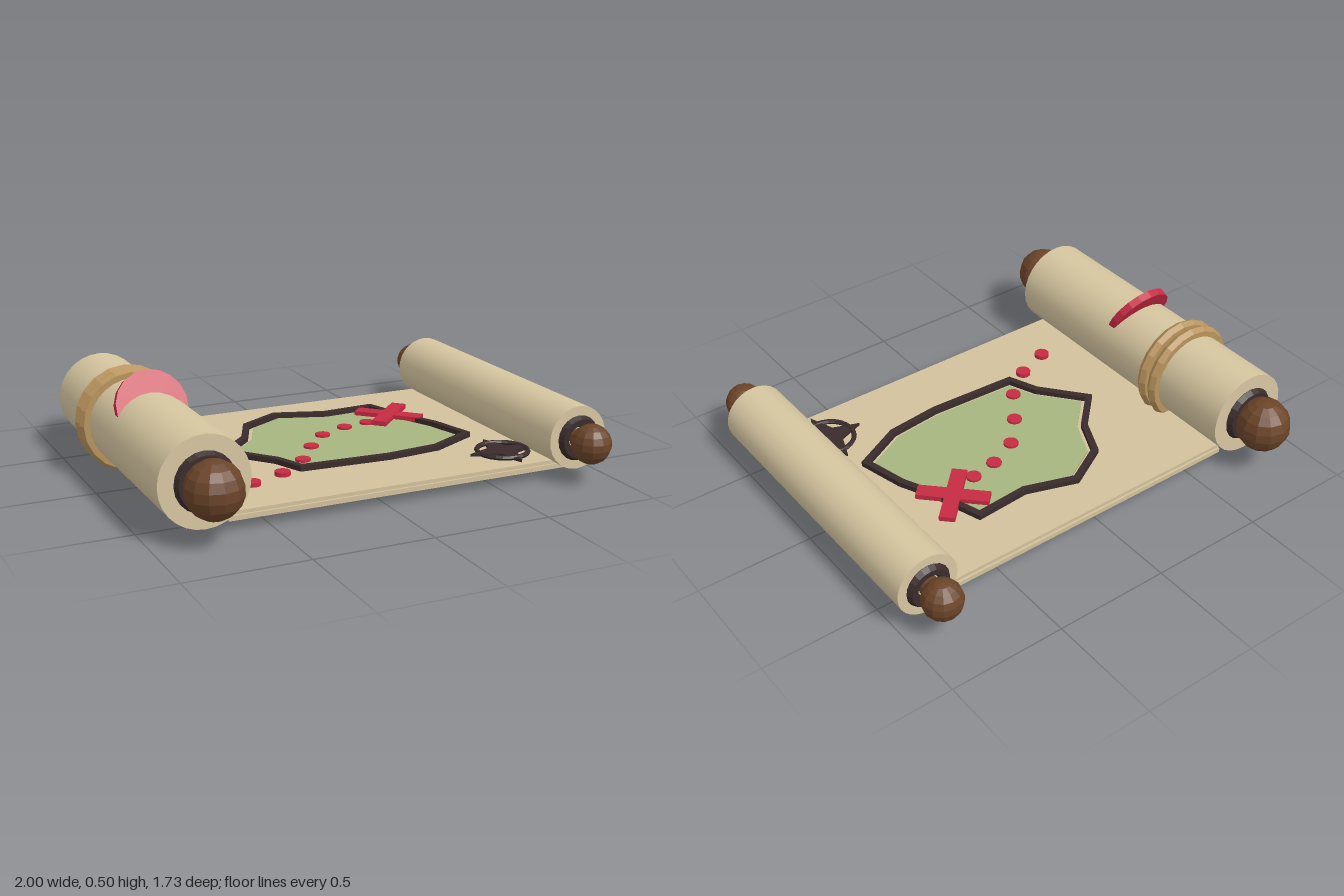
import * as THREE from 'three';

const mat = (name, color, flat = false) => {
  const m = new THREE.MeshStandardMaterial({ color, flatShading: flat });
  m.name = name;
  return m;
};

export function createModel() {
  const group = new THREE.Group();
  const parchment = mat('parchment', 0xd6c6a0);
  const sheetPaper = mat('sheet parchment', 0xd2c19b);
  const wood = mat('brown wood', 0x6b4429, true);
  const ink = mat('dark ink', 0x3a2b2c, true);
  const rope = mat('rope', 0xb8935c, true);
  const red = mat('red wax', 0xc62b42, true);
  const green = mat('land green', 0xa5b57f, true);

  const add = (name, geo, material, x = 0, y = 0, z = 0) => {
    const m = new THREE.Mesh(geo, material);
    m.name = name;
    m.position.set(x, y, z);
    group.add(m);
    return m;
  };
  // Outline drawn in x/z, laid flat with its top at local y = 0
  const flat = (shape, depth) =>
    new THREE.ExtrudeGeometry(shape, { depth, bevelEnabled: false, curveSegments: 12 }).rotateX(Math.PI / 2);

  // Rolls with collars, rods and round knobs at both ends
  const makeRoll = (side, x, y, r, ringR, knobR) => {
    add(side + 'Roll', new THREE.CylinderGeometry(r, r, 1.31, 28).rotateX(Math.PI / 2), parchment, x, y);
    add(side + 'Rod', new THREE.CylinderGeometry(knobR * 0.5, knobR * 0.5, 1.5, 12).rotateX(Math.PI / 2), wood, x, y);
    for (const s of [-1, 1]) {
      add(side + 'Collar', new THREE.TorusGeometry(ringR, 0.025, 6, 20), ink, x, y, s * 0.658);
      add(side + 'Knob', new THREE.SphereGeometry(knobR, 12, 9), wood, x, y, s * 0.75);
    }
  };
  makeRoll('right', -0.775, 0.225, 0.185, 0.098, 0.116);
  makeRoll('left', 0.865, 0.175, 0.135, 0.072, 0.084);

  // Unrolled sheet, with a slightly narrower upper layer
  add('sheet', new THREE.BoxGeometry(1.5, 0.02, 1.235), sheetPaper, 0.08, 0.05, 0);
  add('sheetTop', new THREE.BoxGeometry(1.55, 0.015, 1.215), sheetPaper, 0.075, 0.0675, 0);

  // Rope wraps
  for (const z of [-0.215, -0.278])
    add('ropeWrap', new THREE.TorusGeometry(0.197, 0.027, 6, 20), rope, -0.775, 0.225, z);

  // Wax seal, leaning and half sunk in the roll
  const seal = add('waxSeal', new THREE.CylinderGeometry(0.15, 0.15, 0.034, 18).rotateX(Math.PI / 2), red, -0.775, 0.355, 0.06);
  seal.rotation.x = -0.46;

  // Island coast and land
  const coast = [
    [-0.03, -0.45], [0.19, -0.375], [0.435, -0.39], [0.505, -0.18], [0.58, -0.02], [0.632, 0.185], [0.415, 0.295],
    [0.175, 0.32], [-0.23, 0.3], [-0.285, 0.165], [-0.445, -0.03], [-0.295, -0.18], [-0.22, -0.345],
  ].map(([x, z]) => new THREE.Vector2(x, z));
  // Move every corner inward by d along its mitre
  const inset = (d) => coast.map((p, i) => {
    const n = coast.length;
    const a = p.clone().sub(coast[(i + n - 1) % n]).normalize();
    const b = coast[(i + 1) % n].clone().sub(p).normalize();
    const na = new THREE.Vector2(-a.y, a.x), nb = new THREE.Vector2(-b.y, b.x);
    return p.clone().addScaledVector(na.clone().add(nb), d / (1 + na.dot(nb)));
  });
  const coastShape = new THREE.Shape(coast);
  coastShape.holes.push(new THREE.Path(inset(0.028)));
  add('coastLine', flat(coastShape, 0.025), ink, 0, 0.098, 0);
  add('land', flat(new THREE.Shape(inset(0.043)), 0.009), green, 0, 0.083, 0);

  // Dotted trail
  const trail = [[-0.468, 0.366], [-0.313, 0.305], [-0.172, 0.193], [-0.067, 0.045], [0.046, -0.08], [0.182, -0.142], [0.304, -0.165]];
  for (const [x, z] of trail)
    add('trailDot', new THREE.CylinderGeometry(0.033, 0.033, 0.018, 12), red, x, 0.084, z);

  // Treasure cross
  for (const s of [-1, 1]) {
    const bar = add('crossBar', new THREE.BoxGeometry(0.305, 0.022, 0.066), red, 0.442, 0.092 + s * 0.001, -0.215);
    bar.rotation.y = s * Math.PI / 4;
  }

  // Compass rose
  add('compassRing', new THREE.TorusGeometry(0.108, 0.011, 6, 24).rotateX(Math.PI / 2), ink, 0.645, 0.084, 0.428);
  const star = new THREE.Shape();
  for (let i = 0; i < 8; i++) {
    const r = i % 2 ? 0.06 : 0.155, a = (i * Math.PI) / 4;
    star[i ? 'lineTo' : 'moveTo'](Math.cos(a) * r, Math.sin(a) * r);
  }
  add('compassStar', flat(star, 0.012), ink, 0.645, 0.088, 0.428);

  return group;
}
